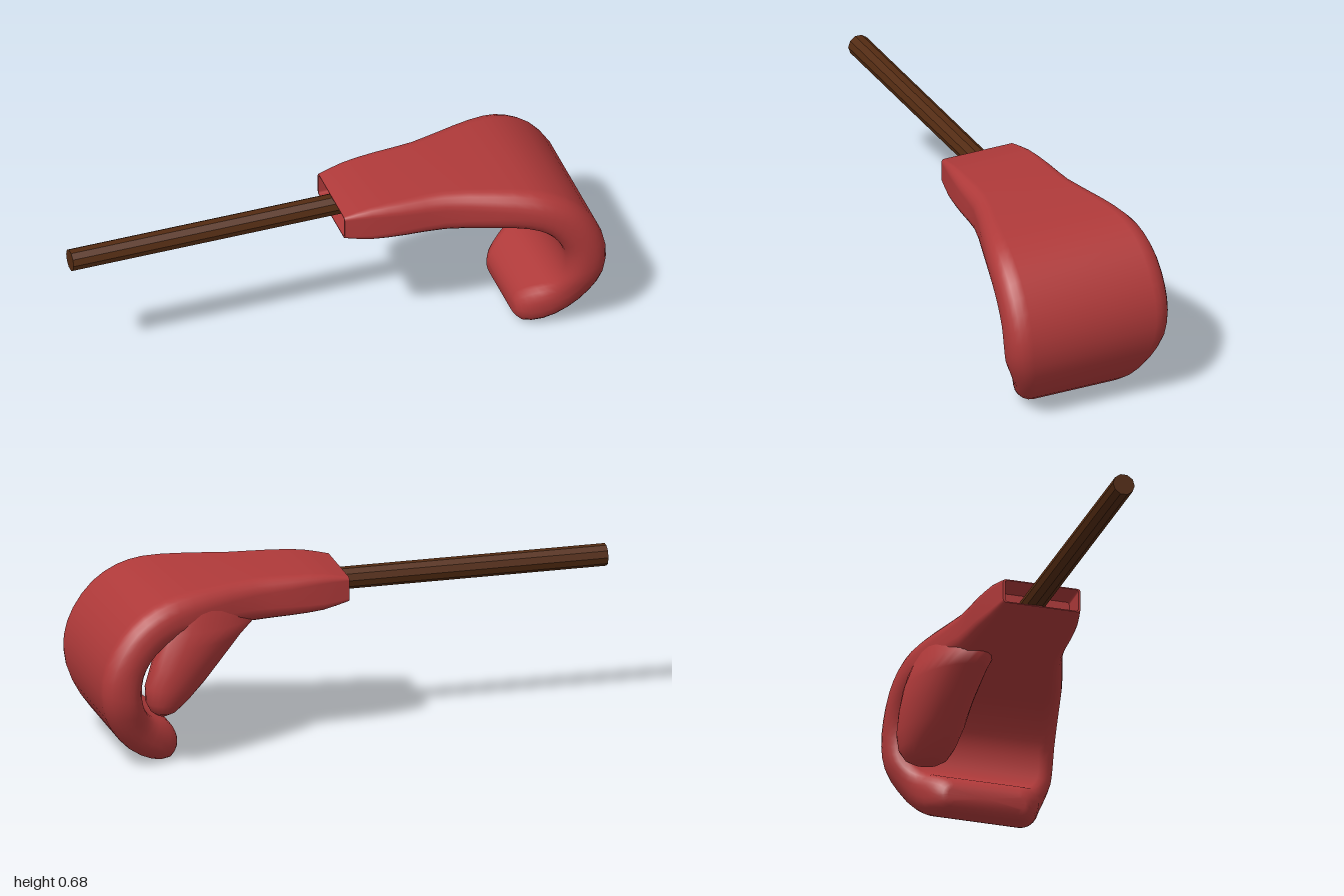
import * as THREE from 'three';

const red = new THREE.MeshStandardMaterial({ color: 0xb03a3a, side: THREE.DoubleSide });
const brown = new THREE.MeshStandardMaterial({ color: 0x532b12, flatShading: true });

// Skin a list of equally long closed rings of Vector3
function loft(rings) {
  const n = rings[0].length, index = [];
  for (let i = 0; i < rings.length - 1; i++) {
    for (let j = 0; j < n; j++) {
      const k = (j + 1) % n, a = i * n, b = a + n;
      index.push(a + j, a + k, b + k, a + j, b + k, b + j);
    }
  }
  const g = new THREE.BufferGeometry().setFromPoints(rings.flat());
  g.setIndex(index);
  g.computeVertexNormals();
  return g;
}

// Ring collapsed to its middle, used as a cap
function capOf(ring) {
  const c = ring.reduce((s, p) => s.add(p), new THREE.Vector3()).divideScalar(ring.length);
  return ring.map(() => c.clone());
}

// Rounded-rectangle section between an outer and an inner point, half width w, corner radius r
function section(ox, oy, ix, iy, w, r) {
  const half = Math.hypot(ox - ix, oy - iy) / 2, ring = [];
  const ux = (ox - ix) / 2 / half, uy = (oy - iy) / 2 / half;
  r = Math.min(r, half * 0.97);
  for (let c = 0; c < 4; c++) {
    const su = c === 0 || c === 3 ? 1 : -1, sz = c < 2 ? 1 : -1;
    for (let s = 0; s <= 5; s++) {
      const a = (c + s / 5) * Math.PI / 2;
      const u = su * (half - r) + r * Math.cos(a);
      const z = sz * (w - r) + r * Math.sin(a);
      ring.push(new THREE.Vector3((ox + ix) / 2 + ux * u, (oy + iy) / 2 + uy * u, z));
    }
  }
  return ring;
}

function add(group, name, geometry, material) {
  const mesh = new THREE.Mesh(geometry, material);
  mesh.name = name;
  group.add(mesh);
  return mesh;
}

export function createModel() {
  const model = new THREE.Group();
  model.name = 'mittOnStick';

  // Padded hand: outer x, y, inner x, y, half width, corner radius
  const rows = [
    [0.02, 0.643, 0.02, 0.549, 0.15, 0.012],
    [0.12, 0.665, 0.12, 0.526, 0.172, 0.03],
    [0.25, 0.674, 0.25, 0.518, 0.19, 0.045],
    [0.40, 0.677, 0.40, 0.514, 0.205, 0.055],
    [0.58, 0.674, 0.58, 0.508, 0.26, 0.065],
    [0.71, 0.663, 0.70, 0.495, 0.298, 0.072],
    [0.80, 0.635, 0.77, 0.465, 0.315, 0.075],
    [0.89, 0.575, 0.815, 0.42, 0.324, 0.075],
    [0.965, 0.475, 0.842, 0.365, 0.328, 0.075],
    [1.0, 0.37, 0.848, 0.305, 0.326, 0.072],
    [0.995, 0.26, 0.838, 0.25, 0.315, 0.07],
    [0.95, 0.155, 0.812, 0.205, 0.284, 0.068],
    [0.875, 0.065, 0.778, 0.178, 0.25, 0.066],
    [0.785, 0.012, 0.735, 0.155, 0.22, 0.064],
    [0.71, 0.003, 0.695, 0.122, 0.185, 0.055],
    [0.682, 0.035, 0.679, 0.085, 0.15, 0.024],
  ];
  const outer = new THREE.CatmullRomCurve3(rows.map(q => new THREE.Vector3(q[0], q[1], q[4])));
  const inner = new THREE.CatmullRomCurve3(rows.map(q => new THREE.Vector3(q[2], q[3], q[5])));
  const rings = [];
  const steps = (rows.length - 1) * 2;
  for (let i = 0; i <= steps; i++) {
    const o = outer.getPoint(i / steps), n = inner.getPoint(i / steps);
    rings.push(section(o.x, o.y, n.x, n.y, o.z, n.z));
  }
  rings.push(capOf(rings[steps]));
  add(model, 'mitt', loft(rings), red);

  // Hollow cuff: rim, lining and the end wall
  const mouth = section(0.02, 0.639, 0.02, 0.553, 0.142, 0.01);
  const deep = section(0.14, 0.641, 0.14, 0.551, 0.145, 0.01);
  add(model, 'cuffRim', loft([mouth, rings[0]]), red);
  add(model, 'cuffLining', loft([deep, mouth]), red);
  add(model, 'cuffEndWall', loft([capOf(deep), deep]), red);

  // Thumb on the back edge of the palm: y, min x, max x, centre z, half depth
  const levels = [
    [0.60, 0.42, 0.74, -0.17, 0.09],
    [0.53, 0.36, 0.77, -0.175, 0.105],
    [0.48, 0.425, 0.785, -0.19, 0.11],
    [0.40, 0.505, 0.808, -0.205, 0.108],
    [0.32, 0.58, 0.83, -0.212, 0.105],
    [0.26, 0.645, 0.825, -0.215, 0.095],
    [0.222, 0.695, 0.805, -0.215, 0.075],
    [0.206, 0.73, 0.785, -0.215, 0.045],
  ];
  const thumb = levels.map(([y, x0, x1, zc, hz]) => {
    const ring = [];
    for (let j = 0; j < 24; j++) {
      const a = j / 24 * Math.PI * 2, dx = Math.cos(a) * (x1 - x0) / 2;
      ring.push(new THREE.Vector3((x0 + x1) / 2 + dx, y, zc + Math.sin(a) * hz - 0.33 * dx));
    }
    return ring;
  });
  thumb.push(capOf(thumb[thumb.length - 1]));
  add(model, 'thumb', loft(thumb), red);

  // Stick running into the cuff
  const stick = add(model, 'stick', new THREE.CylinderGeometry(0.042, 0.042, 1.16, 10), brown);
  stick.rotation.z = Math.PI / 2;
  stick.position.set(-0.42, 0.595, -0.01);

  return model;
}
